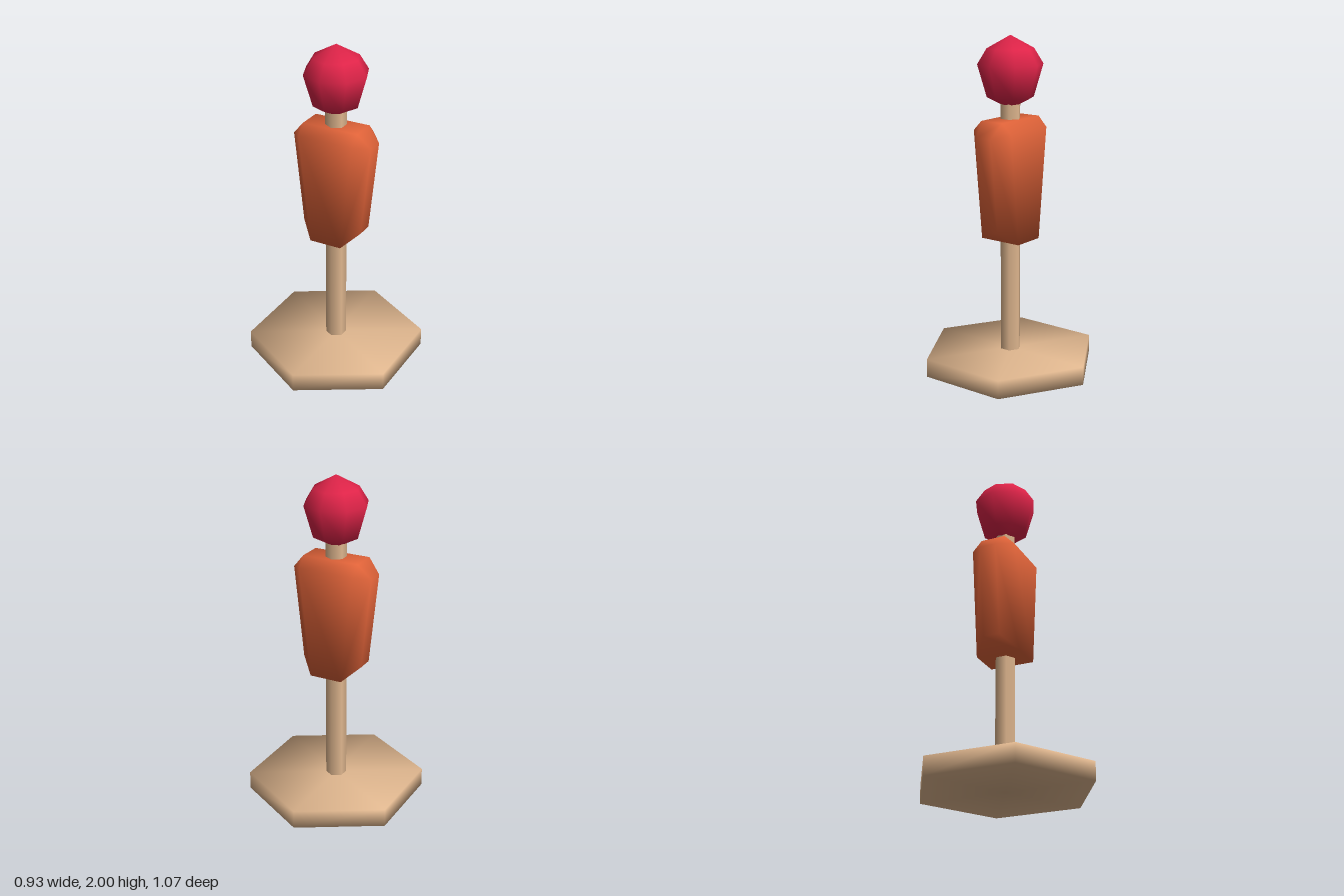
import * as THREE from 'three';
import { mergeVertices } from 'three/addons/utils/BufferGeometryUtils.js';
import { ConvexGeometry } from 'three/addons/geometries/ConvexGeometry.js';

// Weld the corners and give them angle-weighted smooth normals
function soften(source) {
  const bare = new THREE.BufferGeometry();
  bare.setAttribute('position', source.attributes.position);
  bare.setIndex(source.index);
  const geometry = mergeVertices(bare, 1e-4);
  const position = geometry.attributes.position;
  const index = geometry.index;
  const sums = Array.from({ length: position.count }, () => new THREE.Vector3());
  const p = [0, 1, 2].map(() => new THREE.Vector3());
  const u = new THREE.Vector3(), v = new THREE.Vector3(), n = new THREE.Vector3();
  for (let i = 0; i < index.count; i += 3) {
    for (let k = 0; k < 3; k++) p[k].fromBufferAttribute(position, index.getX(i + k));
    n.crossVectors(u.subVectors(p[1], p[0]), v.subVectors(p[2], p[0])).normalize();
    for (let k = 0; k < 3; k++) {
      u.subVectors(p[(k + 1) % 3], p[k]);
      v.subVectors(p[(k + 2) % 3], p[k]);
      sums[index.getX(i + k)].addScaledVector(n, u.angleTo(v));
    }
  }
  const normals = sums.flatMap((s) => s.normalize().toArray());
  geometry.setAttribute('normal', new THREE.Float32BufferAttribute(normals, 3));
  return geometry;
}

export function createModel() {
  const group = new THREE.Group();

  const material = (name, color) => {
    const m = new THREE.MeshStandardMaterial({ color });
    m.name = name;
    return m;
  };
  const wood = material('wood', 0xe0b78f);
  const orange = material('orange', 0xe06339);
  const red = material('red', 0xe02449);

  const add = (name, geometry, mat, y = 0) => {
    const mesh = new THREE.Mesh(soften(geometry), mat);
    mesh.name = name;
    mesh.position.y = y;
    group.add(mesh);
  };

  // Hexagonal base and post, corners pointing to front and back
  add('base', new THREE.CylinderGeometry(0.535, 0.535, 0.11, 6), wood, 0.055);
  add('post', new THREE.CylinderGeometry(0.062, 0.062, 1.57, 6, 1, true), wood, 0.835);

  // Bevelled torso: one quarter of its corners, mirrored in x and z
  const corners = [
    [0.10, 0.80, 0.135],
    [0.19, 0.88, 0.05],
    [0.25, 1.435, 0.05],
    [0.17, 1.46, 0.135],
    [0.175, 1.52, 0.075],
  ];
  const points = [];
  for (const sx of [-1, 1])
    for (const sz of [-1, 1])
      for (const [x, y, z] of corners) points.push(new THREE.Vector3(sx * x, y, sz * z));
  add('torso', new ConvexGeometry(points), orange);

  // Eight-sided head
  const profile = [[0, 1.575], [0.137, 1.645], [0.192, 1.835], [0.137, 1.925], [0, 2]]
    .map(([r, y]) => new THREE.Vector2(r, y));
  add('head', new THREE.LatheGeometry(profile, 8), red);

  return group;
}
